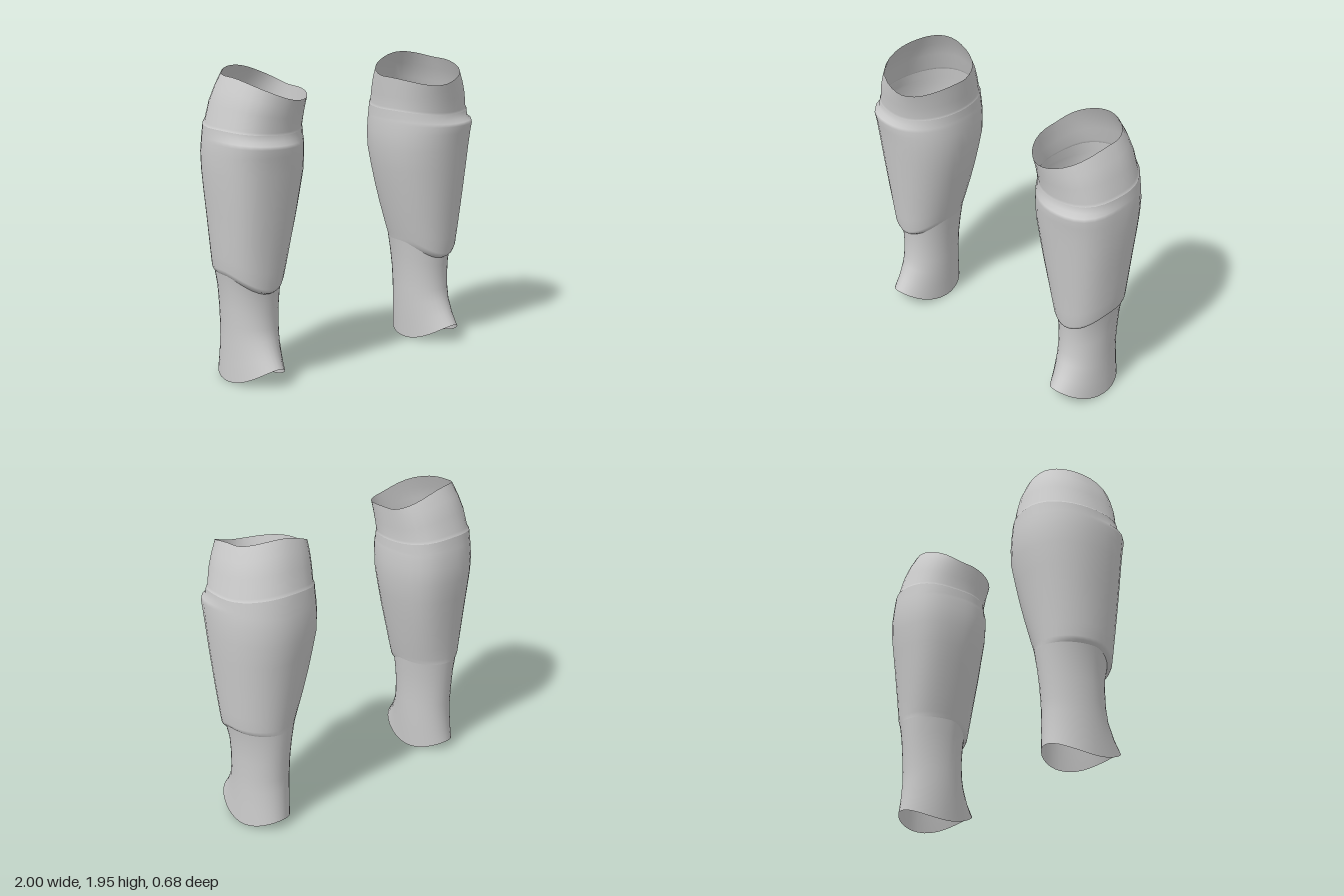
import * as THREE from 'three';

const material = new THREE.MeshStandardMaterial({ color: 0xcccccc, side: THREE.DoubleSide });
const SEGMENTS = 36;

// Cross-sections from the bottom up:
// [y, inner x, outer x, front z, back z, y shift at front, at back, at outer side, guard bulge]
const ankle = [
  [0.01, 0.585, 0.91, 0.315, 0.24, 0.12, 0.06, 0, 0],
  [0.13, 0.577, 0.905, 0.263, 0.229, 0.075, 0.03, 0, 0],
  [0.26, 0.57, 0.9, 0.22, 0.222, 0.03, 0.02, 0, 0],
  [0.36, 0.567, 0.9, 0.203, 0.222, 0, 0, 0, 0],
  [0.48, 0.562, 0.903, 0.196, 0.23, -0.03, 0, 0, 0],
  [0.6, 0.55, 0.91, 0.196, 0.24, -0.07, 0, 0, 0],
  [0.7, 0.537, 0.928, 0.2, 0.25, -0.115, 0, 0, 0],
];
const shin = [
  [0.7, 0.537, 0.928, 0.2, 0.25, -0.115, 0, 0, 0],
  [0.715, 0.533, 0.942, 0.226, 0.251, -0.118, 0, 0, 0],
  [0.735, 0.528, 0.948, 0.236, 0.253, -0.115, 0, 0, 0],
  [0.82, 0.505, 0.956, 0.246, 0.263, -0.1, 0, 0, 0],
  [0.95, 0.473, 0.966, 0.264, 0.28, -0.06, 0, 0, 0],
  [1.08, 0.443, 0.976, 0.283, 0.298, -0.03, 0, 0, 0],
  [1.2, 0.417, 0.987, 0.298, 0.315, 0, 0, 0, 0.002],
  [1.34, 0.392, 0.996, 0.314, 0.336, 0, 0, 0, 0.004],
  [1.45, 0.389, 0.999, 0.322, 0.339, 0, 0, 0, 0.01],
  [1.52, 0.391, 0.993, 0.322, 0.333, -0.02, 0, 0, 0.022],
  [1.545, 0.393, 0.991, 0.32, 0.331, -0.025, 0, 0, 0.02],
  [1.56, 0.394, 0.989, 0.312, 0.328, -0.015, 0.01, 0, 0],
  [1.61, 0.395, 0.985, 0.307, 0.318, -0.03, 0.04, 0, 0],
];
const cuff = [
  [1.61, 0.395, 0.985, 0.307, 0.318, -0.03, 0.04, 0, 0],
  [1.625, 0.4, 0.974, 0.304, 0.306, -0.03, 0.045, 0, 0],
  [1.72, 0.394, 0.95, 0.317, 0.278, -0.04, 0.06, 0.02, 0],
  [1.8, 0.389, 0.918, 0.327, 0.243, -0.06, 0.075, 0.03, 0],
  [1.875, 0.385, 0.88, 0.335, 0.2, -0.085, 0.08, 0.045, 0],
];

// Lofts the sections into an open tube; side is +1 for left, -1 for right
function loft(name, rows, side) {
  const positions = [], index = [];
  rows.forEach(([y, xi, xo, zf, zb, dF, dB, dO, bulge], j) => {
    const boxy = THREE.MathUtils.smoothstep(y, 0.5, 1.1);
    for (let i = 0; i < SEGMENTS; i++) {
      const a = (i / SEGMENTS) * Math.PI * 2;
      const s = Math.sin(a), c = Math.cos(a);
      // The outer front corner is squarer than the rest
      const n = 2 + boxy * (0.1 + 1.1 * Math.max(0, s * c));
      const r = Math.pow(Math.abs(s) ** n + Math.abs(c) ** n, -1 / n);
      const lump = 1 + (bulge / 0.3) * Math.max(0, Math.cos(a - 0.55)) ** 3;
      const x = (xi + xo) / 2 + ((xo - xi) / 2) * s * r * lump;
      const z = (c > 0 ? zf : zb) * c * r * lump;
      const h = y + c * c * (c > 0 ? dF : dB) + s * dO;
      positions.push(side * x, h, z);
      if (j === rows.length - 1) continue;
      const p = j * SEGMENTS + i, q = j * SEGMENTS + ((i + 1) % SEGMENTS);
      const u = p + SEGMENTS, v = q + SEGMENTS;
      if (side > 0) index.push(p, q, v, p, v, u);
      else index.push(p, v, q, p, u, v);
    }
  });
  const geometry = new THREE.BufferGeometry();
  geometry.setAttribute('position', new THREE.Float32BufferAttribute(positions, 3));
  geometry.setIndex(index);
  geometry.computeVertexNormals();
  const mesh = new THREE.Mesh(geometry, material);
  mesh.name = name;
  return mesh;
}

export function createModel() {
  const model = new THREE.Group();
  model.name = 'paddedSocks';
  for (const side of [1, -1]) {
    const sock = new THREE.Group();
    sock.name = side > 0 ? 'leftSock' : 'rightSock';
    sock.add(loft('ankle', ankle, side), loft('shinGuard', shin, side), loft('cuff', cuff, side));
    model.add(sock);
  }
  return model;
}
